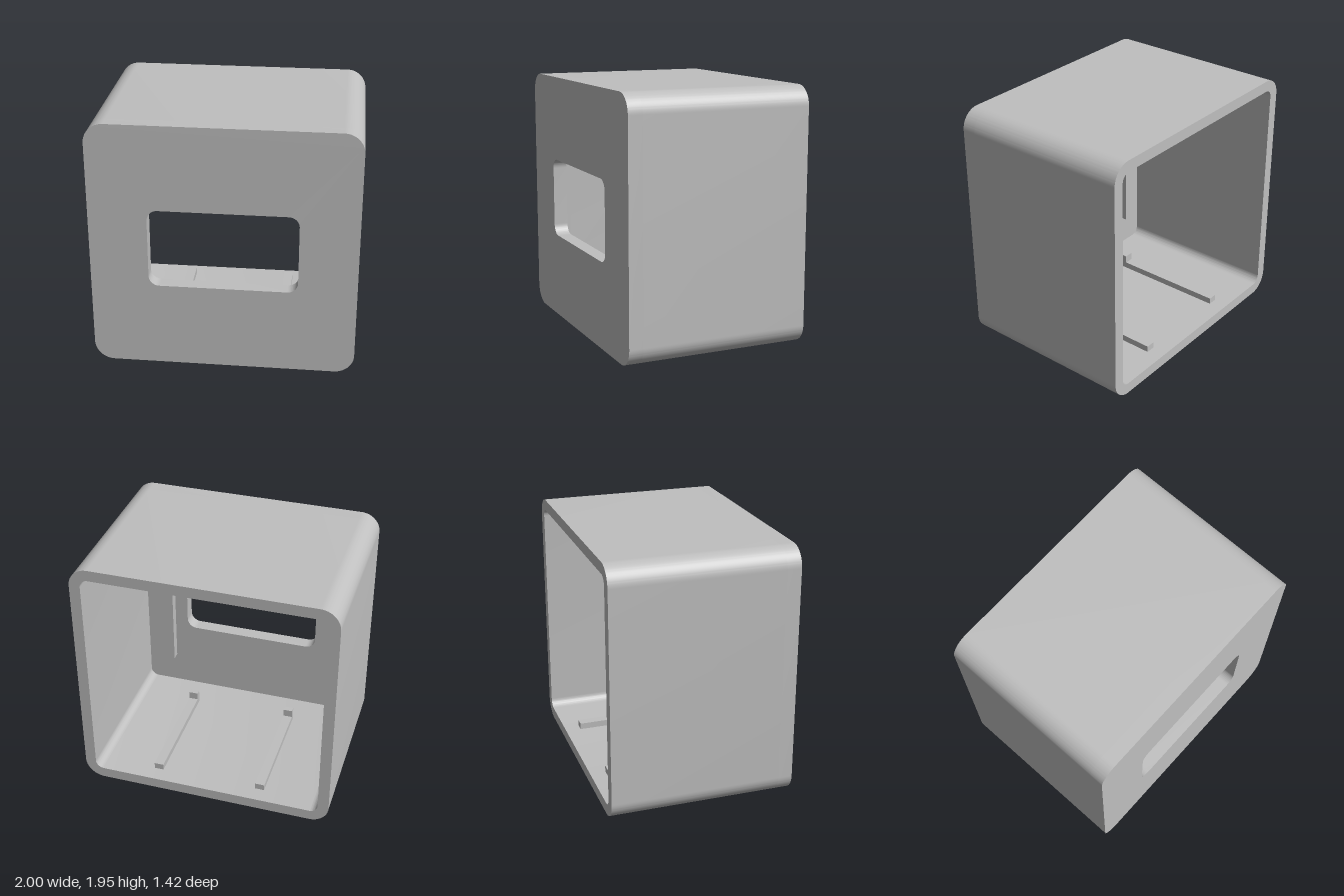
import * as THREE from 'three';
import { toCreasedNormals } from 'three/addons/utils/BufferGeometryUtils.js';

const W = 1, H = 1.95, D = 0.71;      // half width, height, half depth
const T = 0.086;                      // wall thickness
const FRONT = 0.6;                    // inner face of the front wall
const POCKET = { x: 0.36, z0: -0.54, z1: 0.02, depth: 0.045 };

// Rounded rectangle path; an optional notch is cut upward into its top edge
function roundedRect(path, x, y0, y1, r, notch) {
  path.moveTo(-x + r, y0);
  path.lineTo(x - r, y0);
  path.absarc(x - r, y0 + r, r, -Math.PI / 2, 0);
  path.lineTo(x, y1 - r);
  path.absarc(x - r, y1 - r, r, 0, Math.PI / 2);
  if (notch) {
    path.lineTo(notch.x, y1);
    path.lineTo(notch.x, y1 + notch.depth);
    path.lineTo(-notch.x, y1 + notch.depth);
    path.lineTo(-notch.x, y1);
  }
  path.lineTo(-x + r, y1);
  path.absarc(-x + r, y1 - r, r, Math.PI / 2, Math.PI);
  path.lineTo(-x, y0 + r);
  path.absarc(-x + r, y0 + r, r, Math.PI, Math.PI * 1.5);
  return path;
}

// Outer outline with one hole, extruded from z0 to z1
function frame(hole, z0, z1) {
  const shape = roundedRect(new THREE.Shape(), W, 0, H, 0.15);
  shape.holes.push(hole);
  const geo = new THREE.ExtrudeGeometry(shape, { depth: z1 - z0, bevelEnabled: false, curveSegments: 14 });
  geo.translate(0, 0, z0);
  return toCreasedNormals(geo, 0.5);
}

export function createModel() {
  const model = new THREE.Group();
  model.name = 'housing';
  const grey = new THREE.MeshStandardMaterial({ color: 0xbfbfbf });
  grey.name = 'light grey';

  const add = (name, geo) => {
    const mesh = new THREE.Mesh(geo, grey);
    mesh.name = name;
    model.add(mesh);
  };
  const box = (name, x0, x1, y0, y1, z0, z1) => {
    const geo = new THREE.BoxGeometry(x1 - x0, y1 - y0, z1 - z0);
    geo.translate((x0 + x1) / 2, (y0 + y1) / 2, (z0 + z1) / 2);
    add(name, geo);
  };

  // Four walls, open at the back, with a channel in the ceiling
  const cavity = roundedRect(new THREE.Path(), W - T, T, H - T, 0.15 - T, POCKET);
  add('walls', frame(cavity, -D, FRONT));

  // Front wall with its window
  const opening = roundedRect(new THREE.Path(), 0.56, 0.67, 1.29, 0.08);
  add('frontWall', frame(opening, FRONT, D));

  // Close the channel at both ends, leaving a shallow pocket
  const top = H - T + POCKET.depth;
  box('ceilingBack', -POCKET.x, POCKET.x, H - T, top, -D, POCKET.z0);
  box('ceilingFront', -POCKET.x, POCKET.x, H - T, top, POCKET.z1, FRONT);

  // Mirrored ribs: upright on the front wall, rails with end stops on the floor
  for (const [s, side] of [[1, 'left'], [-1, 'right']]) {
    const pair = (name, a, b, ...rest) =>
      box(side + name, Math.min(s * a, s * b), Math.max(s * a, s * b), ...rest);
    pair('WallRib', 0.667, 0.72, 0.355, 1.605, 0.53, FRONT);
    pair('FloorRail', 0.383, 0.457, T, T + 0.05, -0.587, 0.3);
    pair('RailStop', 0.383, 0.457, T, 0.198, 0.3, 0.345);
  }
  return model;
}
